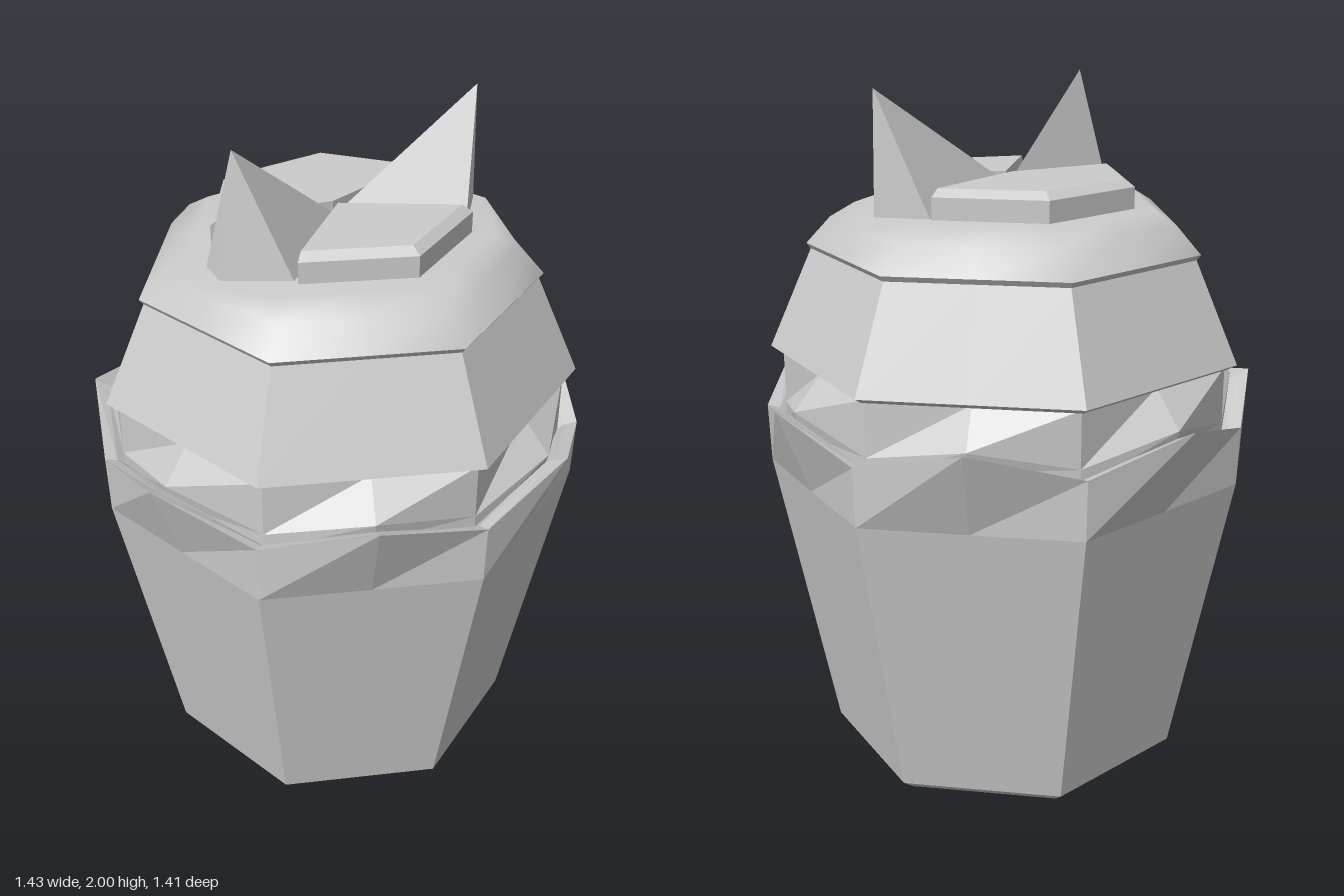
import * as THREE from 'three';

const SIDES = 7;
const CX = 0.01;

// Heptagon ring with a point halfway along each side; the halfway points may move on their own.
function ring(r, y, midR = r * Math.cos(Math.PI / SIDES), midY = y) {
  return Array.from({ length: SIDES * 2 }, (_, i) => {
    const a = (i * Math.PI) / SIDES;
    const rad = i % 2 ? midR : r;
    return [CX + rad * Math.cos(a), i % 2 ? midY : y, rad * Math.sin(a)];
  });
}

// Skin stacked rings from bottom to top, closing the ends on request.
function loft(rings, { bottom = true, top = true } = {}) {
  const n = rings[0].length;
  const pos = rings.flat(2);
  const index = [];
  for (let j = 0; j < rings.length - 1; j++) {
    for (let i = 0; i < n; i++) {
      const a = j * n + i, b = j * n + (i + 1) % n;
      index.push(a, a + n, b, b, a + n, b + n);
    }
  }
  const cap = (j, up) => {
    const c = pos.length / 3;
    for (let k = 0; k < 3; k++) pos.push(rings[j].reduce((s, p) => s + p[k], 0) / n);
    for (let i = 0; i < n; i++) {
      const a = j * n + i, b = j * n + (i + 1) % n;
      index.push(c, up ? b : a, up ? a : b);
    }
  };
  if (bottom) cap(0, false);
  if (top) cap(rings.length - 1, true);
  const g = new THREE.BufferGeometry();
  g.setAttribute('position', new THREE.Float32BufferAttribute(pos, 3));
  g.setIndex(index);
  g.computeVertexNormals();
  return g;
}

export function createModel() {
  const model = new THREE.Group();
  const flat = new THREE.MeshStandardMaterial({ color: 0xcccccc, flatShading: true, side: THREE.DoubleSide });
  const smooth = new THREE.MeshStandardMaterial({ color: 0xcccccc });
  const add = (name, geometry, material = flat) => {
    const mesh = new THREE.Mesh(geometry, material);
    mesh.name = name;
    model.add(mesh);
  };

  // Wrapper cup with a zigzag rim flaring outward
  add('cup', loft([
    ring(0.485, 0),
    ring(0.53, 0.035),
    ring(0.7, 0.9),
    ring(0.705, 1.07, 0.725, 1.15),
    ring(0.67, 1.06, 0.69, 1.13),
    ring(0.645, 1.04, 0.65, 1.11),
  ], { top: false }));

  // Cake collar between the cup and the icing
  add('cakeCollar', loft([
    ring(0.65, 1.03, 0.655, 1.08),
    ring(0.65, 1.08, 0.67, 1.14),
    ring(0.65, 1.24),
  ]));

  // Lower icing tier with a thin lip
  add('lowerIcing', loft([
    ring(0.66, 1.235),
    ring(0.685, 1.25),
    ring(0.558, 1.535),
  ]));

  // Upper icing tier: thin lip, then a soft dome
  add('upperIcingLip', loft([
    ring(0.555, 1.53),
    ring(0.57, 1.55),
  ]));
  const shoulder = ring(0.5, 1.625);
  const crown = ring(0.43, 1.665);
  for (const r of [shoulder, crown]) {
    // bulges under the two ears
    r[7][0] = -0.47;
    r[1][0] = Math.max(r[1][0], 0.45);
  }
  add('upperIcing', loft([ring(0.57, 1.55), shoulder, crown], { bottom: false }), smooth);

  // Bevelled plates on top, both meeting near the middle
  const plate = (name, outline) => {
    const layer = (s, y) => outline.map(([x, z]) => [x * s, y, z * s]);
    add(name, loft([layer(1, 1.64), layer(1, 1.725), layer(0.92, 1.745)]));
  };
  plate('frontPlate', [[0.0, 0.01], [0.24, 0.285], [-0.07, 0.36], [-0.31, 0.16]]);
  plate('backPlate', [[0.0, -0.01], [-0.31, -0.165], [-0.07, -0.37], [0.25, -0.3], [0.38, -0.015]]);

  // Pointed ears, each tapering from a base that reaches the middle
  const ear = (name, tip, base) => add(name, loft([
    base.map(([x, z, y = 1.65]) => [x, y, z]),
    base.map(() => tip),
  ], { top: false }));
  ear('leftEar', [0.425, 2, 0.135], [[0.37, -0.01], [0.435, 0.135], [0.23, 0.27], [0, 0, 1.71]]);
  ear('rightEar', [-0.375, 2, 0.0], [[-0.3, 0.145], [-0.435, 0], [-0.4, -0.09], [0, 0, 1.71]]);

  return model;
}
